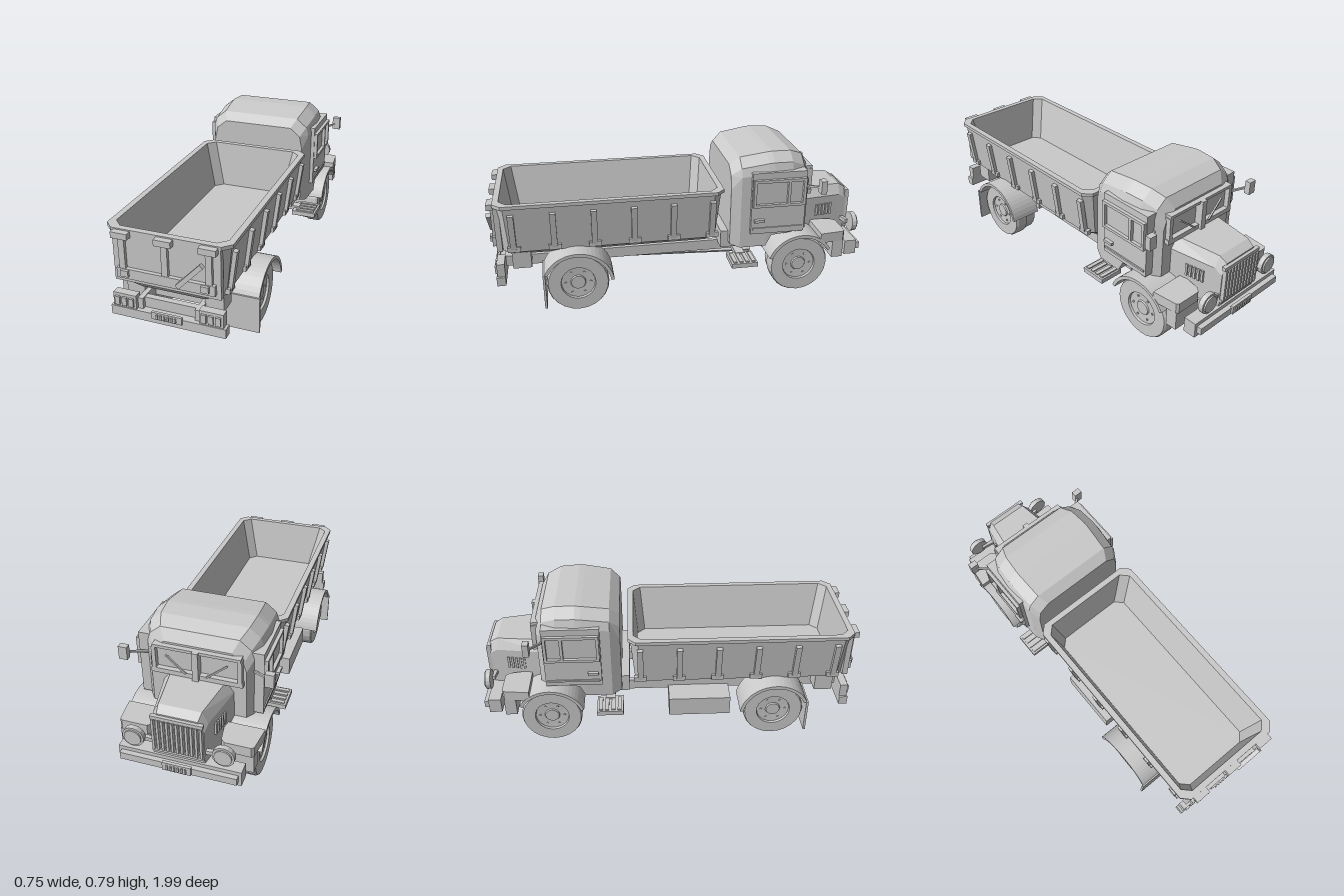
import * as THREE from 'three';

const paint = new THREE.MeshStandardMaterial({ color: 0xcacaca });
paint.name = 'plain grey';
paint.flatShading = true;

export function createModel() {
  const truck = new THREE.Group();
  truck.name = 'dumpTruck';

  const add = (name, geo, parent = truck) => {
    const m = new THREE.Mesh(geo, paint);
    m.name = name;
    parent.add(m);
    return m;
  };
  // Box from its limits
  const box = (name, x0, x1, y0, y1, z0, z1) => {
    const m = add(name, new THREE.BoxGeometry(Math.abs(x1 - x0), y1 - y0, z1 - z0));
    m.position.set((x0 + x1) / 2, (y0 + y1) / 2, (z0 + z1) / 2);
    return m;
  };
  const pair = (name, x0, x1, ...r) => [1, -1].forEach(s => box(name, s * x0, s * x1, ...r));
  // Square bar between two points
  const bar = (name, a, b, w, h = w) => {
    const p = new THREE.Vector3(...a), q = new THREE.Vector3(...b);
    const m = add(name, new THREE.BoxGeometry(w, h, p.distanceTo(q)));
    m.position.copy(p).lerp(q, 0.5);
    m.lookAt(q);
    return m;
  };
  const cyl = (name, r, len, axis, x, y, z, n = 16) => {
    const g = new THREE.CylinderGeometry(r, r, len, n);
    if (axis === 'x') g.rotateZ(Math.PI / 2);
    if (axis === 'z') g.rotateX(Math.PI / 2);
    const m = add(name, g);
    m.position.set(x, y, z);
    return m;
  };
  // Closed skin through matching rings
  const loft = (name, rings) => {
    const n = rings[0].length, idx = [], last = (rings.length - 1) * n;
    for (let i = 0; i < rings.length - 1; i++) for (let j = 0; j < n; j++) {
      const k = (j + 1) % n, a = i * n + j, b = i * n + k;
      idx.push(a, b, b + n, a, b + n, a + n);
    }
    for (let j = 1; j < n - 1; j++) idx.push(0, j + 1, j, last, last + j, last + j + 1);
    const g = new THREE.BufferGeometry();
    g.setAttribute('position', new THREE.Float32BufferAttribute(rings.flat(2), 3));
    g.setIndex(idx);
    const flat = g.toNonIndexed();
    flat.computeVertexNormals();
    return add(name, flat);
  };

  // Tipping bed: underside, outer walls, rim, inner walls and floor in one skin
  const bedRing = (w, y, z0, z1, c = 0.04) => [
    [w, y, z1 - c], [w, y, z0 + c], [w - c, y, z0], [c - w, y, z0],
    [-w, y, z0 + c], [-w, y, z1 - c], [c - w, y, z1], [w - c, y, z1]];
  loft('bed', [
    bedRing(0.195, 0.296, -0.17, 0.9), bedRing(0.258, 0.338, -0.18, 0.932),
    bedRing(0.288, 0.59, -0.2, 0.945), bedRing(0.3, 0.59, -0.213, 0.955),
    bedRing(0.3, 0.608, -0.213, 0.955), bedRing(0.27, 0.608, -0.183, 0.925),
    bedRing(0.216, 0.36, -0.16, 0.89)]);
  for (let i = 0; i < 6; i++) for (const s of [1, -1]) {
    const z = 0.87 - i * 0.204;
    bar('bedRib', [s * 0.267, 0.36, z], [s * 0.292, 0.555, z], 0.03, 0.024);
    box('ribFoot', s * 0.25, s * 0.275, 0.345, 0.372, z - 0.035, z + 0.03);
  }

  // Tailgate
  box('tailgate', -0.257, 0.257, 0.345, 0.6, 0.925, 0.953);
  box('tailgateBeam', -0.236, 0.236, 0.37, 0.42, 0.95, 0.972);
  for (const x of [-0.207, 0, 0.207]) {
    box('tailgateHinge', x - 0.04, x + 0.04, 0.572, 0.602, 0.95, 0.985);
    box('tailgateRib', x - 0.015, x + 0.015, 0.42, 0.57, 0.95, 0.97);
    if (x) box('tailgateLatch', x * 0.93 - 0.018, x * 0.93 + 0.018, 0.386, 0.417, 0.97, 0.985);
  }
  bar('tailgateLever', [0.068, 0.395, 0.985], [0.185, 0.52, 0.985], 0.022);

  // Cab, swept from front to back
  const cabRing = (z, w, t, b, k = 1) => {
    const h = [[w, b], [w, t - 0.09 * k], [w - 0.015, t - 0.045], [w - 0.07, t]];
    return [...h, ...h.slice().reverse().map(([x, y]) => [-x, y])].map(([x, y]) => [x, y, z]);
  };
  loft('cab', [
    cabRing(-0.675, 0.235, 0.7, 0.345), cabRing(-0.64, 0.262, 0.755, 0.345),
    cabRing(-0.57, 0.286, 0.783, 0.345), cabRing(-0.47, 0.294, 0.787, 0.34),
    cabRing(-0.44, 0.294, 0.784, 0.28), cabRing(-0.3, 0.286, 0.762, 0.275),
    cabRing(-0.25, 0.262, 0.72, 0.29, 1.3)]);
  box('cabFloor', -0.225, 0.225, 0.255, 0.35, -0.46, -0.21);

  // Doors with window frames, handles and mirrors
  for (const s of [1, -1]) {
    const side = (name, x0, x1, ...r) => box(name, s * x0, s * x1, ...r);
    side('door', 0.25, 0.308, 0.36, 0.7, -0.64, -0.35);
    side('windowSill', 0.3, 0.325, 0.515, 0.53, -0.635, -0.355);
    side('windowTop', 0.3, 0.325, 0.65, 0.665, -0.635, -0.355);
    for (const z of [-0.635, -0.552, -0.37])
      side('windowPost', 0.3, 0.325, 0.53, 0.65, z, z + 0.015);
    side('doorHandle', 0.3, 0.326, 0.43, 0.445, -0.42, -0.365);
    side('doorTrim', 0.3, 0.314, 0.385, 0.395, -0.63, -0.36);
    side('mirror', 0.333, 0.376, 0.59, 0.66, -0.725, -0.695);
    bar('mirrorArm', [s * 0.26, 0.6, -0.64], [s * 0.35, 0.62, -0.7], 0.01);

    // Split windscreen frame and wipers
    side('screenSill', 0.01, 0.225, 0.535, 0.56, -0.7, -0.66);
    side('screenTop', 0.01, 0.215, 0.675, 0.69, -0.7, -0.66);
    side('screenPost', 0.2, 0.22, 0.56, 0.675, -0.7, -0.66);
    side('screenMiddle', 0, 0.015, 0.535, 0.69, -0.715, -0.66);
    bar('wiper', [s * 0.05, 0.56, -0.705], [s * 0.15, 0.64, -0.695], 0.008);
  }

  // Hood, side vents and grille
  const hoodRing = (z, w, t) => [[w, 0.26, z], [w, t - 0.055, z], [w * 0.78, t, z],
    [-w * 0.78, t, z], [-w, t - 0.055, z], [-w, 0.26, z]];
  loft('hood', [hoodRing(-0.945, 0.125, 0.505), hoodRing(-0.905, 0.132, 0.53), hoodRing(-0.66, 0.178, 0.536)]);
  for (let i = 0; i < 5; i++) {
    const z = -0.85 + i * 0.021;
    pair('hoodVent', 0.12, 0.151 + i * 0.0035, 0.37, 0.435, z - 0.006, z + 0.006);
  }
  box('grilleTop', -0.125, 0.125, 0.48, 0.498, -0.96, -0.94);
  box('grilleBase', -0.125, 0.125, 0.295, 0.31, -0.96, -0.94);
  for (let i = 0; i < 11; i++) {
    const x = -0.115 + i * 0.023;
    box('grilleBar', x - 0.006, x + 0.006, 0.31, 0.48, -0.965, -0.94);
  }

  // Headlights, front bumper and plate
  for (const s of [1, -1]) {
    cyl('headlight', 0.053, 0.025, 'z', s * 0.217, 0.348, -0.95);
    cyl('headlightLens', 0.042, 0.02, 'z', s * 0.217, 0.348, -0.96);
    bar('headlightBracket', [s * 0.12, 0.33, -0.93], [s * 0.2, 0.34, -0.935], 0.02);
  }
  box('frontBumper', -0.3, 0.3, 0.19, 0.27, -0.955, -0.89);
  box('bumperStrip', -0.285, 0.285, 0.212, 0.25, -0.98, -0.95);
  box('frontPlate', -0.07, 0.07, 0.215, 0.26, -0.99, -0.975);

  // Wheels with a raised tread band
  const wheelProfile = [[0, -0.045], [0.1, -0.045], [0.112, -0.067], [0.15, -0.067],
    [0.153, -0.003], [0.16, -0.003], [0.16, 0.056], [0.154, 0.067], [0.09, 0.067],
    [0.087, 0.055], [0.04, 0.053], [0.036, 0.06], [0, 0.06]].map(p => new THREE.Vector2(...p));
  const wheelGeo = new THREE.LatheGeometry(wheelProfile, 24).rotateZ(-Math.PI / 2);
  const boltGeo = new THREE.CylinderGeometry(0.006, 0.006, 0.014, 6).rotateZ(Math.PI / 2);
  for (const z of [0.56, -0.628]) for (const s of [1, -1]) {
    const wheel = new THREE.Group();
    wheel.name = 'wheel';
    add('tyreAndHub', wheelGeo, wheel);
    for (let i = 0; i < 6; i++) {
      const a = i * Math.PI / 3;
      add('wheelBolt', boltGeo, wheel).position.set(0.052, Math.sin(a) * 0.065, Math.cos(a) * 0.065);
    }
    wheel.position.set(s * 0.2475, 0.16, z);
    if (s < 0) wheel.rotation.y = Math.PI;
    truck.add(wheel);
  }

  // Arched fenders, mudflaps and front fender noses
  const fender = (x, width, z, a0, a1) => {
    const sh = new THREE.Shape();
    sh.absarc(0, 0, 0.187, a0, a1, false);
    sh.absarc(0, 0, 0.17, a1, a0, true);
    const g = new THREE.ExtrudeGeometry(sh, { depth: width, bevelEnabled: false, curveSegments: 10 });
    add('fender', g.rotateY(-Math.PI / 2)).position.set(x, 0.16, z);
  };
  for (const x of [0.352, -0.18]) fender(x, 0.172, 0.56, 0.44, 3);
  for (const x of [0.345, -0.17]) fender(x, 0.175, -0.628, 0.35, 2.6);
  pair('mudflap', 0.18, 0.357, 0.052, 0.24, 0.725, 0.737);
  // Nose plan with rounded inner corner, laid flat
  const nose = new THREE.Shape();
  nose.moveTo(0.15, 0.73);
  nose.lineTo(0.345, 0.73);
  nose.lineTo(0.33, 0.86);
  nose.lineTo(0.318, 0.87);
  nose.lineTo(0.19, 0.87);
  nose.lineTo(0.17, 0.85);
  for (const s of [1, -1]) {
    const g = new THREE.ExtrudeGeometry(nose, { depth: 0.055, bevelEnabled: false });
    const m = add('fenderNose', g.rotateX(-Math.PI / 2));
    m.position.y = s > 0 ? 0.292 : 0.347;
    if (s < 0) m.rotation.z = Math.PI;
  }
  pair('fenderFront', 0.18, 0.33, 0.195, 0.293, -0.865, -0.805);

  // Steps below the doors
  pair('step', 0.22, 0.355, 0.19, 0.215, -0.385, -0.245);
  for (let i = 0; i < 4; i++)
    pair('stepTread', 0.24, 0.345, 0.215, 0.222, -0.375 + i * 0.033, -0.355 + i * 0.033);
  pair('stepBracket', 0.13, 0.25, 0.2, 0.225, -0.34, -0.29);

  // Chassis, axles and drive
  pair('frameRail', 0.128, 0.153, 0.208, 0.265, -0.92, 0.95);
  for (const z of [-0.84, -0.45, -0.1, 0.2, 0.8])
    box('crossMember', -0.13, 0.13, 0.212, 0.258, z - 0.025, z + 0.025);
  for (const z of [-0.628, 0.56]) cyl('axle', 0.034, 0.39, 'x', 0, 0.16, z, 12);
  box('differential', -0.08, 0.08, 0.1, 0.2, 0.5, 0.63);
  bar('driveShaft', [0, 0.155, 0.5], [0, 0.115, -0.44], 0.026).rotateZ(Math.PI / 4);
  bar('liftRam', [0, 0.305, 0.25], [0, 0.235, -0.08], 0.03);
  box('engineBase', -0.1, 0.1, 0.17, 0.3, -0.8, -0.48);
  box('fuelTank', -0.28, -0.113, 0.118, 0.225, 0, 0.33);
  pair('bedMount', 0.15, 0.24, 0.235, 0.345, 0.79, 0.885);

  // Rear bumper, lamps and plate
  box('rearBumper', -0.282, 0.282, 0.163, 0.21, 0.925, 0.97);
  box('rearPlate', -0.075, 0.075, 0.188, 0.224, 0.965, 0.978);
  box('rearBeam', -0.137, 0.137, 0.2, 0.262, 0.9, 0.93);
  pair('rearLampBox', 0.155, 0.27, 0.21, 0.28, 0.925, 0.965);
  for (const x of [0.178, 0.212, 0.247])
    pair('rearLamp', x - 0.012, x + 0.012, 0.222, 0.265, 0.96, 0.975);

  // Raised slats on both plates
  for (let i = 0; i < 6; i++) {
    const x = -0.045 + i * 0.018;
    box('plateSlat', x - 0.004, x + 0.004, 0.195, 0.217, 0.975, 0.985);
    box('plateSlat', x - 0.004, x + 0.004, 0.225, 0.25, -0.996, -0.985);
  }

  return truck;
}
